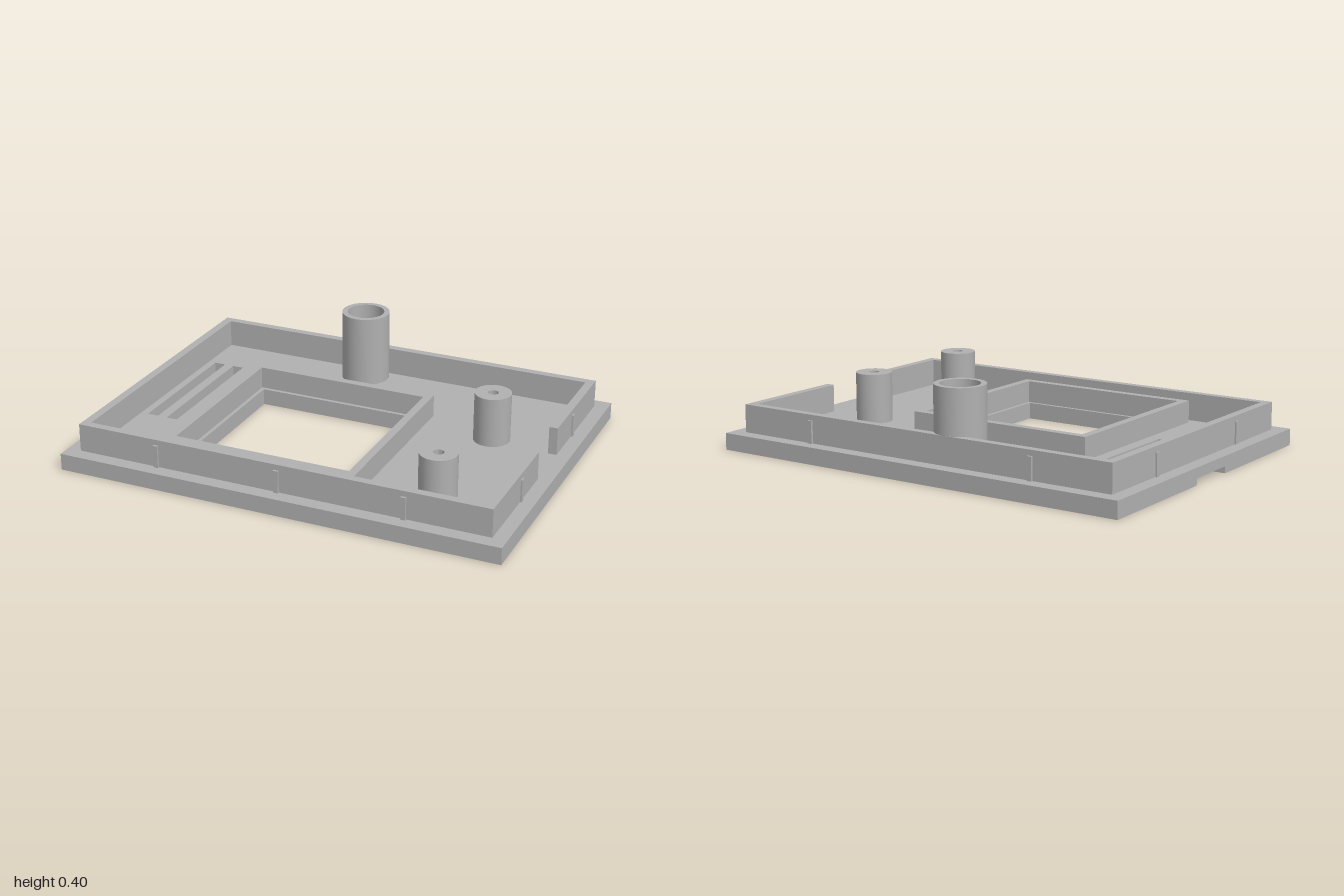
import * as THREE from 'three';
import { toCreasedNormals } from 'three/addons/utils/BufferGeometryUtils.js';

export function createModel() {
  const model = new THREE.Group();
  model.name = 'enclosureLid';
  const grey = new THREE.MeshStandardMaterial({ color: 0xb0b0b0 });
  grey.name = 'grey plastic';

  const add = (name, geometry, x = 0, y = 0, z = 0) => {
    const mesh = new THREE.Mesh(geometry, grey);
    mesh.name = name;
    mesh.position.set(x, y, z);
    model.add(mesh);
    return mesh;
  };

  // Plan outlines are given as [x, z] and extruded upwards
  const trace = (path, points) => {
    points.forEach(([x, z], i) => (i ? path.lineTo(x, -z) : path.moveTo(x, -z)));
    path.closePath();
    return path;
  };
  const rect = (x0, x1, z0, z1) => [[x0, z1], [x1, z1], [x1, z0], [x0, z0]];
  const extrude = (outline, holes, height) => {
    const shape = trace(new THREE.Shape(), outline);
    shape.holes.push(...holes);
    const g = new THREE.ExtrudeGeometry(shape, { depth: height, bevelEnabled: false, curveSegments: 48 });
    g.rotateX(-Math.PI / 2);
    return toCreasedNormals(g, 0.5);
  };
  const rectHole = (...r) => trace(new THREE.Path(), rect(...r));

  // Hollow post, open at the top down to the given floor
  const post = (outer, inner, bottom, top, floor, blind) => {
    const p = [[outer, bottom], [outer, top], [inner, top], [inner, floor]];
    if (blind) p.push([0, floor]);
    const g = new THREE.LatheGeometry(p.map(([x, y]) => new THREE.Vector2(x, y)), 48);
    return toCreasedNormals(g, 0.5);
  };

  const W = 1, D = 0.74, plateTop = 0.075, notchTop = 0.03, rimTop = 0.2;
  const tube = { x: -0.147, z: -0.567, outer: 0.11, inner: 0.085 };

  // Base plate with window, vent slots and tube hole; its lower layer has an edge notch
  const plateHoles = () => {
    const bore = new THREE.Path();
    bore.absarc(tube.x, -tube.z, tube.inner, 0, Math.PI * 2, false);
    const slots = [-0.84, -0.744, -0.647].map((x) => rectHole(x - 0.026, x + 0.026, -0.41, 0.23));
    return [rectHole(-0.513, 0.257, -0.226, 0.544), bore, ...slots];
  };
  const notched = [[-W, D], [W, D], [W, -D], [-W, -D],
    [-W, -0.12], [-W + 0.06, -0.12], [-W + 0.06, 0.125], [-W, 0.125]];
  add('plateLower', extrude(notched, plateHoles(), notchTop));
  add('plateUpper', extrude(rect(-W, W, -D, D), plateHoles(), plateTop - notchTop), 0, notchTop);

  // Raised rim, open in the middle of one side
  const X = 0.938, Z = 0.677, xi = 0.9, zi = 0.64, gap = 0.125;
  const rim = [[X, gap], [X, Z], [-X, Z], [-X, -Z], [X, -Z], [X, -gap],
    [xi, -gap], [xi, -zi], [-xi, -zi], [-xi, zi], [xi, zi], [xi, gap]];
  add('rim', extrude(rim, [], rimTop - plateTop), 0, plateTop);

  // Frame around the window
  add('windowFrame', extrude(rect(-0.567, 0.311, -0.28, 0.598),
    [rectHole(-0.53, 0.274, -0.243, 0.561)], 0.1), 0, plateTop);

  // Snap ribs on the outside of the rim
  const rib = (x, z, w, d) => add('snapRib', new THREE.BoxGeometry(w, 0.1, d), x, 0.125, z);
  for (const x of [-0.563, 0, 0.563]) rib(x, Z, 0.022, 0.02);
  for (const x of [-0.563, 0.563]) rib(x, -Z, 0.022, 0.02);
  for (const s of [-1, 1]) for (const z of [-0.338, 0.338]) rib(s * X, z, 0.014, 0.024);

  // Tall tube and two screw posts
  add('tube', post(tube.outer, tube.inner, plateTop, 0.4, plateTop, false), tube.x, 0, tube.z);
  for (const z of [-0.16, 0.48]) {
    add('screwPost', post(0.081, 0.023, plateTop, 0.297, plateTop + 0.005, true), 0.631, 0, z);
  }
  // Lathe profiles run upwards on the outside, so their faces point outwards
  return model;
}
